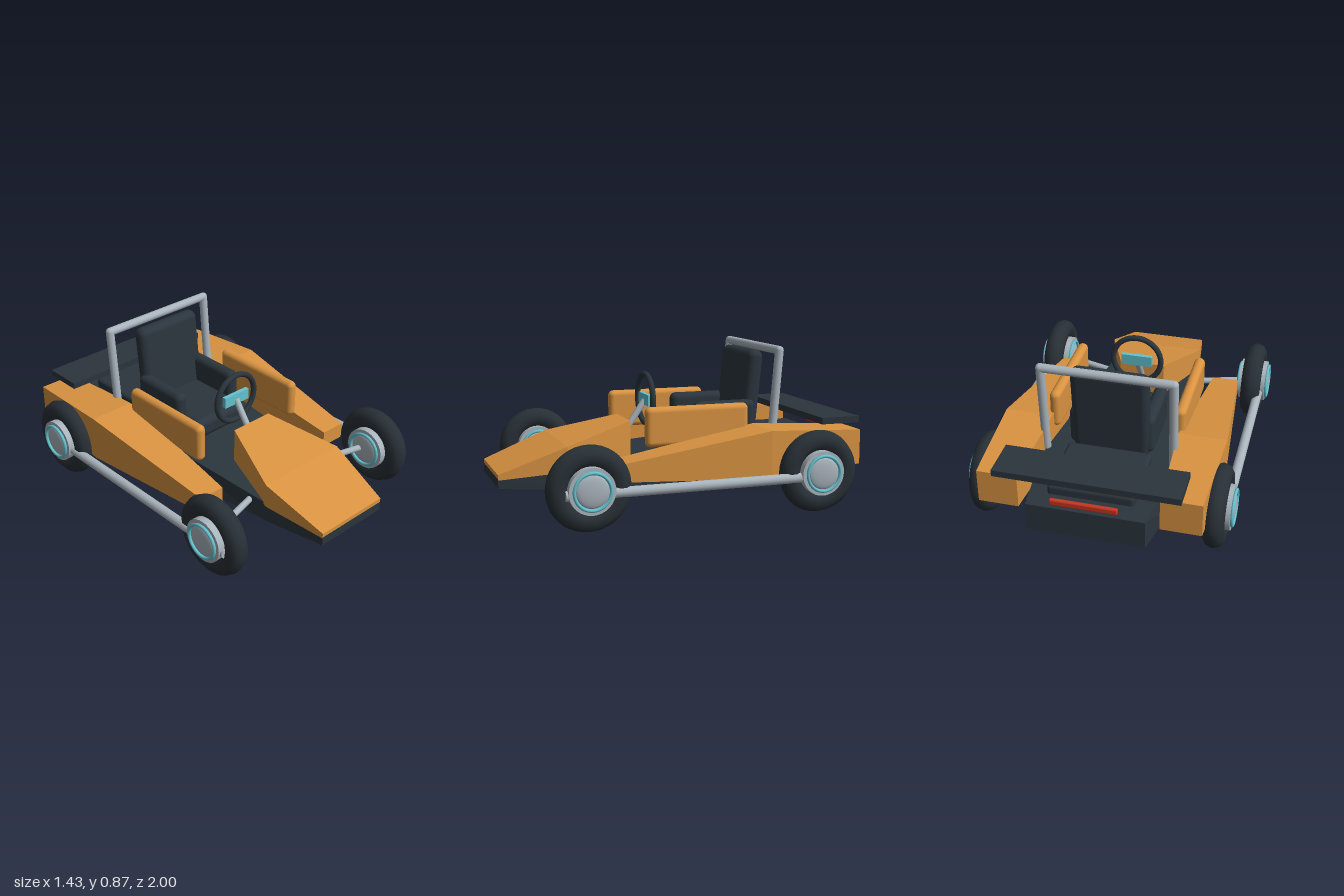
import * as THREE from 'three';
import { RoundedBoxGeometry } from 'three/addons/geometries/RoundedBoxGeometry.js';

const paint = (name, color) => Object.assign(new THREE.MeshStandardMaterial({ color }), { name });

// Loft through four-cornered sections ordered from back to front;
// corners run counterclockwise as seen from +z. Faceted result.
function loft(sections) {
  const pos = [];
  const tri = (...pts) => pts.forEach((p) => pos.push(...p));
  const rings = sections.map(({ z, pts }) => pts.map(([x, y]) => [x, y, z]));
  for (let i = 0; i < rings.length - 1; i++) {
    for (let j = 0; j < 4; j++) {
      const k = (j + 1) % 4;
      const [a, b, c, d] = [rings[i][j], rings[i][k], rings[i + 1][k], rings[i + 1][j]];
      tri(a, b, c);
      tri(a, c, d);
    }
  }
  const f = rings[rings.length - 1], r = rings[0];
  tri(f[0], f[1], f[2]); tri(f[0], f[2], f[3]);
  tri(r[0], r[2], r[1]); tri(r[0], r[3], r[2]);
  const g = new THREE.BufferGeometry();
  g.setAttribute('position', new THREE.Float32BufferAttribute(pos, 3));
  g.computeVertexNormals();
  return g;
}

// Symmetric section: bottom half width, top half width, bottom and top height
const trapezoid = (z, wb, wt, y0, y1) =>
  ({ z, pts: [[-wb, y0], [wb, y0], [wt, y1], [-wt, y1]] });
// Box section between two x values
const slab = (z, xa, xb, y0, y1) =>
  ({ z, pts: [[xa, y0], [xb, y0], [xb, y1], [xa, y1]] });

export function createModel() {
  const orange = paint('orange bodywork', 0xd99341);
  const dark = paint('dark trim', 0x2b353d);
  const rubber = paint('tyre rubber', 0x283036);
  const metal = paint('pale metal', 0xa9b4bc);
  const cyan = paint('cyan accent', 0x63c3d0);
  const red = paint('red light', 0xc93522);

  const model = new THREE.Group();
  model.name = 'openKart';

  const add = (name, geometry, material, x = 0, y = 0, z = 0, parent = model) => {
    const mesh = new THREE.Mesh(geometry, material);
    mesh.name = name;
    mesh.position.set(x, y, z);
    parent.add(mesh);
    return mesh;
  };
  const rounded = (name, size, r, material, x, y, z) =>
    add(name, new RoundedBoxGeometry(...size, 4, r), material, x, y, z);
  const rod = (name, from, to, r, material = metal) => {
    const a = new THREE.Vector3(...from), b = new THREE.Vector3(...to);
    const dir = b.clone().sub(a);
    const mesh = add(name, new THREE.CylinderGeometry(r, r, dir.length(), 16), material);
    mesh.position.copy(a).add(b).multiplyScalar(0.5);
    mesh.quaternion.setFromUnitVectors(new THREE.Vector3(0, 1, 0), dir.normalize());
    return mesh;
  };

  // Wedge-shaped floor hull
  add('hull', loft([
    trapezoid(-0.975, 0.31, 0.31, 0.155, 0.315),
    trapezoid(-0.55, 0.39, 0.355, 0.135, 0.325),
    trapezoid(0.64, 0.265, 0.262, 0.14, 0.25),
    trapezoid(1, 0.225, 0.225, 0.165, 0.215),
  ]), dark);
  rounded('rearDeck', [0.46, 0.07, 0.4], 0.02, dark, 0, 0.335, -0.67);

  // Nose cover
  add('nose', loft([
    trapezoid(0.25, 0.13, 0.13, 0.26, 0.468),
    trapezoid(0.64, 0.273, 0.273, 0.238, 0.373),
    trapezoid(1, 0.225, 0.225, 0.209, 0.238),
  ]), orange);

  // Seat
  const back = rounded('seatBack', [0.42, 0.52, 0.09], 0.04, dark, 0, 0.58, -0.445);
  back.rotation.x = -0.1;
  rounded('seatCushion', [0.36, 0.12, 0.42], 0.04, dark, 0, 0.36, -0.2);

  // Steering
  add('steeringWheel', new THREE.TorusGeometry(0.139, 0.016, 10, 40), dark, 0, 0.568, 0.122);
  add('steeringDisplay', new THREE.BoxGeometry(0.175, 0.062, 0.025), cyan, 0, 0.566, 0.122);
  rod('steeringColumn', [0, 0.56, 0.125], [0, 0.36, 0.265], 0.018);

  // Roll bar crosspiece
  rod('rollBarTop', [-0.35, 0.85, -0.535], [0.35, 0.85, -0.535], 0.024);

  // Rear wing and tail light
  add('rearWing', new THREE.BoxGeometry(0.97, 0.036, 0.225), dark, 0, 0.467, -0.85);
  rounded('tailLight', [0.35, 0.034, 0.024], 0.008, red, 0, 0.37, -0.988);

  // Wheel: tyre, hub drum, accent rings and domed caps on both faces
  const tyreGeo = new THREE.TorusGeometry(0.163, 0.059, 10, 40).rotateY(Math.PI / 2);
  const drumGeo = new THREE.CylinderGeometry(0.12, 0.12, 0.155, 32).rotateZ(Math.PI / 2);
  const ringGeo = new THREE.TorusGeometry(0.094, 0.009, 8, 40).rotateY(Math.PI / 2);
  const capGeo = new THREE.SphereGeometry(0.085, 28, 14).scale(0.2, 1, 1);
  const wheel = (name, x, z) => {
    const g = new THREE.Group();
    g.name = name;
    g.position.set(x, 0.226, z);
    model.add(g);
    add('tyre', tyreGeo, rubber, 0, 0, 0, g);
    add('hubDrum', drumGeo, metal, 0, 0, 0, g);
    for (const s of [-1, 1]) {
      add('hubRing', ringGeo, cyan, s * 0.084, 0, 0, g);
      add('hubCap', capGeo, metal, s * 0.076, 0, 0, g);
    }
  };

  // Mirrored parts
  for (const s of [-1, 1]) {
    const side = s > 0 ? 'left' : 'right';
    const podSection = (z, inner, outer, y0, y1) =>
      slab(z, Math.min(s * inner, s * outer), Math.max(s * inner, s * outer), y0, y1);

    add(side + 'SidePod', loft([
      podSection(-0.915, 0.37, 0.585, 0.24, 0.428),
      podSection(-0.38, 0.35, 0.612, 0.2, 0.455),
      podSection(0.44, 0.395, 0.545, 0.225, 0.315),
    ]), orange);
    rounded(side + 'SideBolster', [0.06, 0.215, 0.585], 0.029, orange, s * 0.348, 0.465, -0.055);
    rounded(side + 'SeatWing', [0.076, 0.22, 0.36], 0.035, dark, s * 0.195, 0.455, -0.275);

    rod(side + 'RollBarPost', [s * 0.35, 0.33, -0.492], [s * 0.35, 0.85, -0.535], 0.024);
    add(side + 'RollBarCorner', new THREE.SphereGeometry(0.024, 16, 10), metal,
      s * 0.35, 0.85, -0.535);

    rod(side + 'SideRail', [s * 0.662, 0.205, -0.75], [s * 0.662, 0.205, 0.75], 0.027);
    rod(side + 'FrontArm', [s * 0.2, 0.222, 0.5], [s * 0.58, 0.226, 0.605], 0.018);
    rod(side + 'RearArm', [s * 0.28, 0.215, -0.56], [s * 0.58, 0.226, -0.635], 0.018);

    wheel(side + 'FrontWheel', s * 0.62, 0.62);
    wheel(side + 'RearWheel', s * 0.62, -0.64);
  }
  return model;
}
